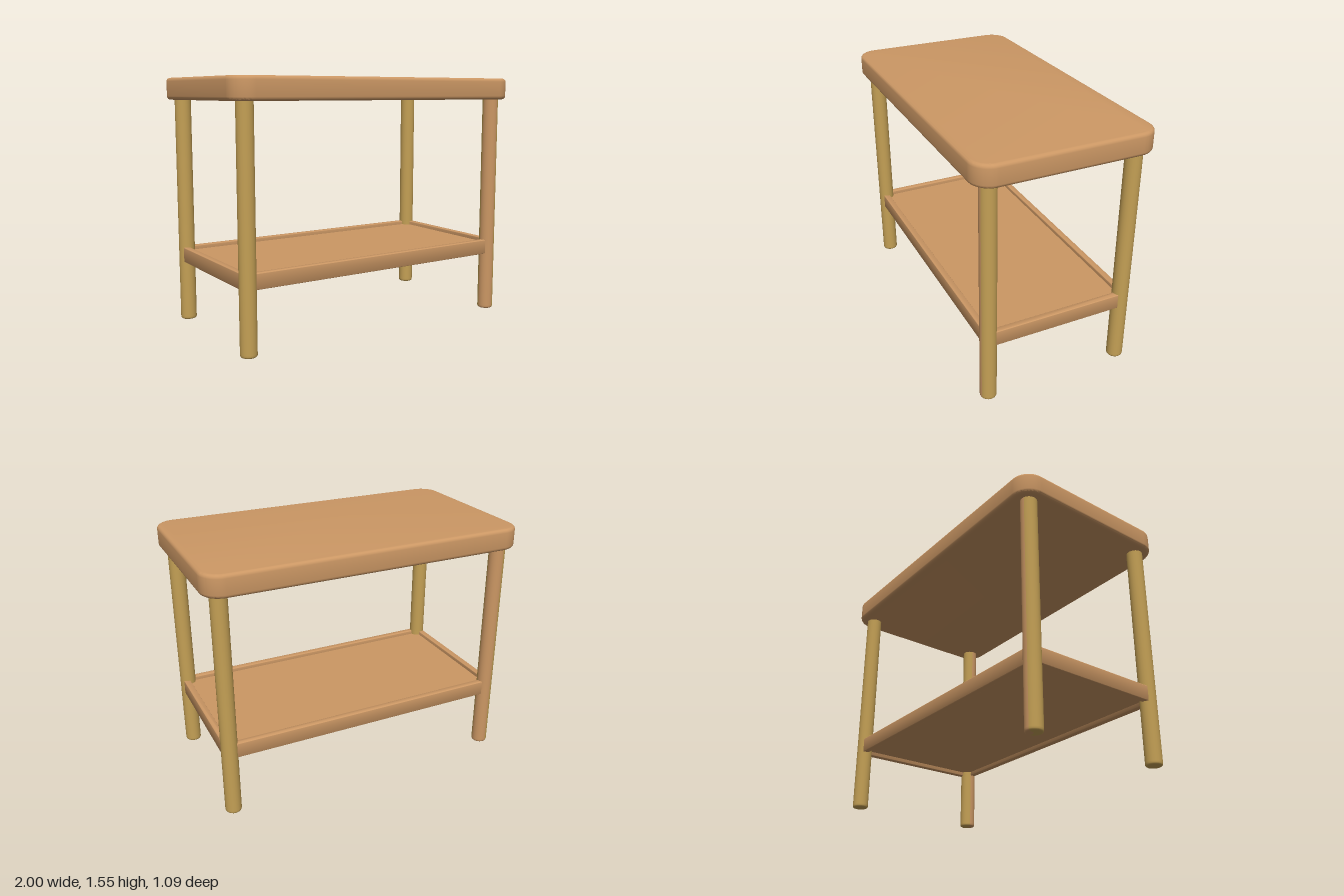
import * as THREE from 'three';
import { toCreasedNormals } from 'three/addons/utils/BufferGeometryUtils.js';

// Rounded rectangle centred on the origin, as a Shape or as a Path for holes
function roundedRect(Type, hx, hz, r) {
  const p = new Type();
  p.absarc(hx - r, hz - r, r, 0, Math.PI / 2);
  p.absarc(-hx + r, hz - r, r, Math.PI / 2, Math.PI);
  p.absarc(-hx + r, -hz + r, r, Math.PI, Math.PI * 1.5);
  p.absarc(hx - r, -hz + r, r, Math.PI * 1.5, Math.PI * 2);
  p.closePath();
  return p;
}

// Horizontal slab between y0 and y1 with a rounded edge
function slab(shape, y0, y1, bevel) {
  const geometry = new THREE.ExtrudeGeometry(shape, {
    depth: y1 - y0 - 2 * bevel,
    bevelEnabled: bevel > 0,
    bevelThickness: bevel,
    bevelSize: bevel,
    bevelOffset: -bevel,
    bevelSegments: 4,
    curveSegments: 12,
  });
  geometry.rotateX(-Math.PI / 2);
  geometry.translate(0, y0 + bevel, 0);
  return toCreasedNormals(geometry, 0.7);
}

export function createModel() {
  const model = new THREE.Group();
  model.name = 'sideTable';
  const wood = new THREE.MeshStandardMaterial({ color: 0xcb9764 });
  wood.name = 'warmWood';
  const legWood = new THREE.MeshStandardMaterial({ color: 0xc4a055 });
  legWood.name = 'goldenWood';

  const add = (name, geometry, material, parent = model) => {
    const mesh = new THREE.Mesh(geometry, material);
    mesh.name = name;
    parent.add(mesh);
    return mesh;
  };

  // Table top
  add('tableTop', slab(roundedRect(THREE.Shape, 1, 0.545, 0.12), 1.415, 1.55, 0.022), wood);

  // Lower shelf: a frame around a thinner panel
  const frame = roundedRect(THREE.Shape, 0.935, 0.47, 0.06);
  frame.holes.push(roundedRect(THREE.Path, 0.895, 0.43, 0.03));
  add('shelfFrame', slab(frame, 0.38, 0.475, 0.005), wood);
  add('shelfPanel', slab(roundedRect(THREE.Shape, 0.91, 0.445, 0.03), 0.405, 0.45, 0), wood);

  // Round legs with softened feet
  const profile = [[0, 0], [0.042, 0], [0.047, 0.003], [0.05, 0.01], [0.05, 0.02], [0.05, 1.43]]
    .map(([x, y]) => new THREE.Vector2(x, y));
  const legSector = (start, length) => new THREE.LatheGeometry(profile, 20, start, length);
  const warmStart = -Math.PI / 2 - 0.2;
  const warmLength = Math.PI / 2 + 0.5;

  for (const sx of [-1, 1]) {
    for (const sz of [-1, 1]) {
      const leg = new THREE.Group();
      leg.name = (sz > 0 ? 'front' : 'back') + (sx > 0 ? 'Left' : 'Right') + 'Leg';
      leg.position.set(sx * 0.9, 0, sz * 0.44);
      if (sz < 0) leg.rotation.y = Math.PI;
      if (sx === sz) {
        // Diagonal pair has a warm strip on the inner and outward sides
        add('legWarmSide', legSector(warmStart, warmLength), wood, leg);
        add('legGoldenSide', legSector(warmStart + warmLength, Math.PI * 2 - warmLength), legWood, leg);
      } else {
        add('legPost', legSector(0, Math.PI * 2), legWood, leg);
      }
      model.add(leg);
    }
  }
  return model;
}
